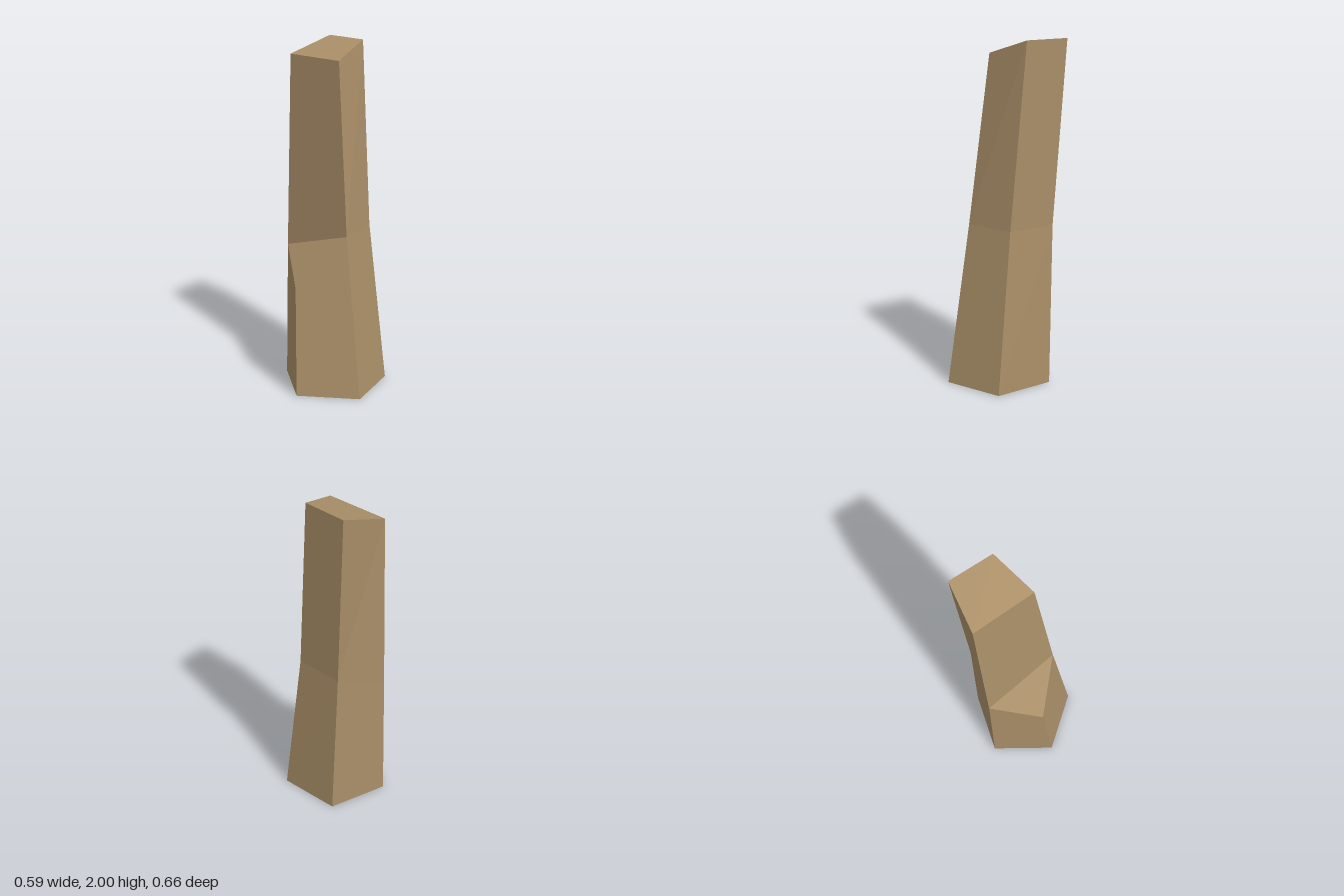
import * as THREE from 'three';

// Corners of each level, running counter-clockwise seen from above
const base = [[-0.297, 0, 0.133], [0.012, 0, 0.332], [0.295, 0, 0.1], [0.155, 0, -0.24], [-0.205, 0, -0.222]];
const middle = [[-0.27, 0.63, 0.07], [-0.01, 0.94, 0.197], [0.225, 0.94, 0.015], [0.128, 0.94, -0.26], [-0.185, 0.8, -0.235]];
const top = [[-0.002, 1.915, 0.077], [0.222, 2, -0.078], [0.135, 2, -0.333], [-0.137, 1.915, -0.28]];

// Faceted mesh from convex polygons, each split into a fan
function facets(name, polygons, material) {
  const positions = [];
  for (const p of polygons) {
    for (let i = 1; i < p.length - 1; i++) positions.push(...p[0], ...p[i], ...p[i + 1]);
  }
  const geometry = new THREE.BufferGeometry();
  geometry.setAttribute('position', new THREE.Float32BufferAttribute(positions, 3));
  geometry.computeVertexNormals();
  const mesh = new THREE.Mesh(geometry, material);
  mesh.name = name;
  return mesh;
}

// Side walls joining two closed rings of equal length
function walls(lower, upper) {
  return lower.map((corner, i) => {
    const j = (i + 1) % lower.length;
    return [corner, lower[j], upper[j], upper[i]];
  });
}

export function createModel() {
  const wood = new THREE.MeshStandardMaterial({ color: 0xab9069, flatShading: true, side: THREE.DoubleSide });
  wood.name = 'tan wood';

  const group = new THREE.Group();
  group.name = 'leaningPost';
  // Five-sided foot, open underneath
  group.add(facets('foot', walls(base, middle), wood));
  // Sloping ledge where the foot narrows to the shaft
  group.add(facets('ledge', [[middle[0], middle[1], middle[4]]], wood));
  // Four-sided shaft leaning back
  group.add(facets('shaft', walls(middle.slice(1), top), wood));
  // Slanted cut end
  group.add(facets('cutEnd', [[top[3], top[0], top[1], top[2]]], wood));
  return group;
}
